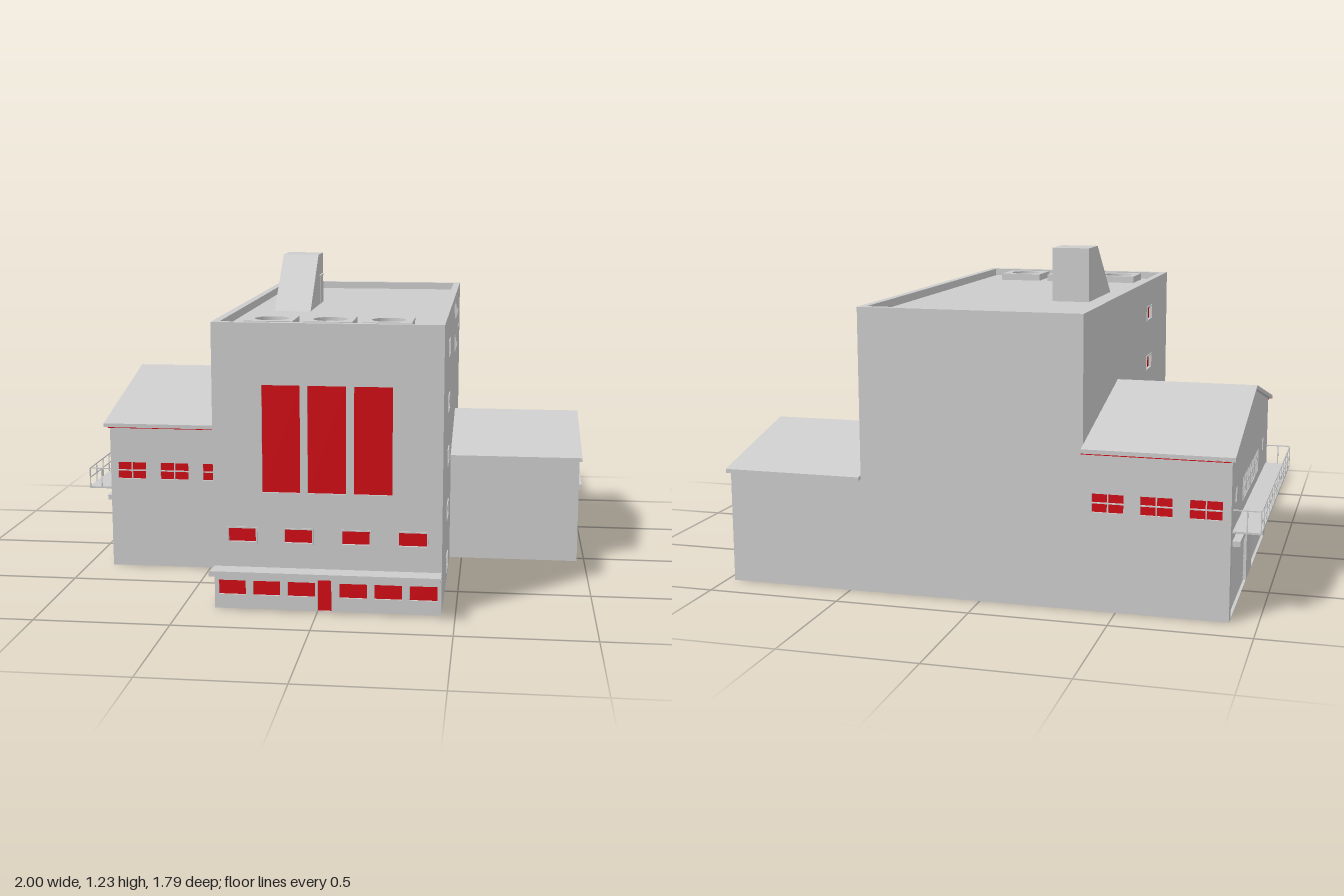
import * as THREE from 'three';

const grey = new THREE.MeshStandardMaterial({ color: 0xcccccc, side: THREE.DoubleSide, flatShading: true });
const red = new THREE.MeshStandardMaterial({ color: 0xd00a14, side: THREE.DoubleSide });
const T = 0.012; // wall thickness

function add(parent, name, geo, mat = grey) {
  const m = new THREE.Mesh(geo, mat);
  m.name = name;
  parent.add(m);
  return m;
}

// Box given by its two extreme corners
function box(parent, name, [x0, y0, z0], [x1, y1, z1], mat = grey) {
  const m = add(parent, name, new THREE.BoxGeometry(x1 - x0, y1 - y0, z1 - z0), mat);
  m.position.set((x0 + x1) / 2, (y0 + y1) / 2, (z0 + z1) / 2);
  return m;
}

const poly = pts => new THREE.Shape(pts.map(p => new THREE.Vector2(...p)));
const rect = (u0, v0, u1, v1) => [[u0, v0], [u1, v0], [u1, v1], [u0, v1]];
const extrude = (shape, depth) => new THREE.ExtrudeGeometry(shape, { depth, bevelEnabled: false, curveSegments: 20 });

// Wall in local XY facing +z, pierced by openings {r: [u0,v0,u1,v1], type, cols, rows}
function wall(parent, name, outline, openings, pos, turn) {
  const g = new THREE.Group();
  g.name = name;
  g.position.set(...pos);
  g.rotation.y = turn;
  parent.add(g);
  const shape = poly(outline);
  for (const o of openings) shape.holes.push(new THREE.Path(rect(...o.r).map(p => new THREE.Vector2(...p))));
  add(g, name + 'Panel', extrude(shape, T)).position.z = -T;
  for (const { r: [u0, v0, u1, v1], type = 'window', cols = 1, rows = 1, frame } of openings) {
    if (type === 'shutter') {
      // roller door of overlapping slats, with its housing above
      const n = 16, h = (v1 - v0) / n;
      for (let i = 0; i < n; i++) {
        const s = box(g, 'shutterSlat', [u0, v0 + i * h, -T - 0.004], [u1, v0 + (i + 1) * h, -T]);
        s.rotation.x = -0.2;
      }
      box(g, 'shutterHousing', [u0 - 0.002, v1 - 0.005, 0], [u1 + 0.002, v1 + 0.014, 0.028]);
      continue;
    }
    box(g, type + 'Pane', [u0, v0, -T], [u1, v1, -T + 0.004], red);
    for (let i = 1; i < cols; i++) {
      const u = u0 + (u1 - u0) * i / cols;
      box(g, 'mullion', [u - 0.002, v0, -T], [u + 0.002, v1, 0]);
    }
    for (let i = 1; i < rows; i++) {
      const v = v0 + (v1 - v0) * i / rows;
      box(g, 'transom', [u0, v - 0.002, -T], [u1, v + 0.002, 0]);
    }
    if (frame) {
      const s = poly(rect(u0 - 0.005, v0 - 0.005, u1 + 0.005, v1 + 0.005));
      s.holes.push(poly(rect(u0, v0, u1, v1)));
      add(g, 'windowFrame', extrude(s, 0.004));
    }
  }
}

const row = (starts, w, v0, v1, extra = {}) => starts.map(u => ({ r: [u, v0, u + w, v1], ...extra }));
const Q = Math.PI / 2;

// Gable roof slab running along x
function gableRoof(parent, name, x0, x1, zBack, zFront, zRidge, yEave, yRidge, t) {
  const m = add(parent, name, extrude(poly([
    [-zFront, yEave - t], [-zRidge, yRidge - t], [-zBack, yEave - t],
    [-zBack, yEave], [-zRidge, yRidge], [-zFront, yEave]]), x1 - x0));
  m.rotation.y = Q;
  m.position.x = x0;
}

function mainBlock() {
  const g = new THREE.Group();
  g.name = 'mainBlock';
  const x0 = -0.38, x1 = 0.45, z0 = -0.865, z1 = 0.79, H = 1.055, roofY = 1.025;
  wall(g, 'frontWall', rect(x0, 0, x1, H), [
    ...row([-0.2, -0.035, 0.132], 0.138, 0.44, 0.832),
    ...row([-0.325, -0.12, 0.09, 0.295], 0.1, 0.255, 0.305, { frame: true }),
    ...row([-0.365, -0.238, -0.11, 0.08, 0.207, 0.335], 0.1, 0.053, 0.107),
    { r: [0, 0.001, 0.05, 0.13], type: 'door' },
  ], [0, 0, z1], 0);
  wall(g, 'backWall', rect(-x1, 0, -x0, H), [], [0, 0, z0], Math.PI);
  // stair windows appear on both flanks, strip windows on one
  const floors = [0.05, 0.26, 0.472, 0.682, 0.893];
  const strip = Array.from({ length: 8 }, (_, i) => i * 0.0727);
  wall(g, 'leftWall', rect(-z1, 0, -z0, H), [
    ...floors.flatMap(v => row([-0.405], 0.095, v, v + 0.052, { frame: true })),
    ...row(strip.map(u => u + 0.155), 0.04, 0.945, 1.02),
    ...row(strip.map(u => u + 0.228), 0.04, 0.808, 0.882),
  ], [x1, 0, 0], Q);
  wall(g, 'rightWall', rect(z0, 0, z1, H),
    floors.flatMap(v => row([0.31], 0.095, v, v + 0.052, { frame: true })), [x0, 0, 0], -Q);

  // sunken flat roof and parapet
  box(g, 'flatRoof', [x0 + 0.01, roofY - 0.012, z0 + 0.01], [x1 - 0.01, roofY, z1 - 0.01]);
  const rim = poly(rect(x0, -z1, x1, -z0));
  rim.holes.push(poly(rect(x0 + 0.028, -z1 + 0.028, x1 - 0.028, -z0 - 0.028)));
  const parapet = add(g, 'parapet', extrude(rim, H - roofY));
  parapet.rotation.x = -Q;
  parapet.position.y = roofY;

  // entrance canopy with upturned lip
  box(g, 'canopy', [x0, 0.15, z1], [x1, 0.16, 0.89]);
  box(g, 'canopyLip', [x0, 0.15, 0.885], [x1, 0.17, 0.893]);

  // roof fan units with round openings
  for (const x of [-0.185, 0.03, 0.243]) {
    const s = poly(rect(-0.088, -0.086, 0.088, 0.086));
    s.holes.push(new THREE.Path().absarc(0, 0, 0.062, 0, Math.PI * 2));
    const unit = add(g, 'fanUnit', extrude(s, 0.028));
    unit.rotation.x = -Q;
    unit.position.set(x, roofY, 0.635);
    const hub = add(g, 'fanHub', new THREE.CylinderGeometry(0.05, 0.05, 0.016, 20));
    hub.position.set(x, roofY + 0.008, 0.635);
  }

  // sloped stair head with door and little awning
  const head = add(g, 'stairHead', extrude(poly(
    [[-0.15, roofY], [0.245, roofY], [0.245, 1.232], [0.095, 1.232]]), 0.145));
  head.rotation.y = Q;
  head.position.x = -0.255;
  box(g, 'roofDoor', [-0.112, roofY, -0.19], [-0.108, 1.135, -0.14]);
  box(g, 'roofDoorAwning', [-0.112, 1.143, -0.2], [-0.102, 1.148, -0.13]);
  return g;
}

function leftWing() {
  const g = new THREE.Group();
  g.name = 'leftWing';
  const x0 = 0.45, x1 = 0.97, z0 = -0.865, z1 = 0.04;
  wall(g, 'wingFront', rect(x0, 0, x1, 0.425), [], [0, 0, z1], 0);
  wall(g, 'wingBack', rect(-x1, 0, -x0, 0.425), [], [0, 0, z0], Math.PI);
  wall(g, 'wingGable', [[-z1, 0], [-z0, 0], [-z0, 0.425], [0.412, 0.532], [-z1, 0.425]], [
    { r: [0.205, 0.001, 0.62, 0.25], type: 'shutter' },
    ...row([0.17, 0.302, 0.435, 0.567], 0.092, 0.345, 0.396),
  ], [x1, 0, 0], Q);
  gableRoof(g, 'wingRoof', x0, 0.98, -0.885, 0.058, -0.412, 0.435, 0.545, 0.015);
  return g;
}

function rightWing() {
  const g = new THREE.Group();
  g.name = 'rightWing';
  const x0 = -0.9, x1 = -0.38, z0 = -0.865, z1 = 0.3, eave = 0.58;
  const panes = { cols: 2, rows: 2 };
  wall(g, 'wingFront', rect(x0, 0, x1, eave), row([-0.87, -0.697, -0.525], 0.113, 0.36, 0.427, panes), [0, 0, z1], 0);
  wall(g, 'wingBack', rect(-x1, 0, -x0, eave), row([0.412, 0.584, 0.757], 0.113, 0.36, 0.427, panes), [0, 0, z0], Math.PI);
  wall(g, 'wingGable', [[z0, 0], [z1, 0], [z1, eave], [-0.282, 0.72], [z0, eave]], [
    { r: [-0.82, 0.001, -0.37, 0.265], type: 'shutter' },
    { r: [-0.195, 0.001, 0.255, 0.265], type: 'shutter' },
    ...row([-0.55, -0.417, -0.284, -0.151], 0.12, 0.35, 0.44, { cols: 3, rows: 2 }),
    ...row([-0.76, 0.1], 0.045, 0.4, 0.45),
  ], [x0, 0, 0], -Q);
  gableRoof(g, 'wingRoof', -0.915, x1, -0.9, 0.335, -0.282, 0.59, 0.735, 0.015);
  for (const z of [-0.897, 0.33]) box(g, 'eaveTrim', [x0, 0.572, z - 0.003], [x1, 0.578, z + 0.003], red);

  // walkway with railings along the gable end
  const a = -0.825, b = 0.265, r = 0.002;
  box(g, 'walkwayDeck', [-1, 0.308, a], [x0, 0.315, b]);
  for (const y of [0.352, 0.39]) box(g, 'longRail', [-1, y - r, a], [-1 + 2 * r, y + r, b]);
  for (let i = 0; i <= 12; i++) {
    const z = a + r + (b - a - 2 * r) * i / 12;
    box(g, 'railPost', [-1, 0.31, z - r], [-1 + 2 * r, 0.39, z + r]);
  }
  for (const z of [a + r, b - r]) {
    box(g, 'endRail', [-1, 0.388, z - r], [x0, 0.392, z + r]);
    box(g, 'endPost', [-0.952, 0.31, z - r], [-0.948, 0.39, z + r]);
  }
  return g;
}

export function createModel() {
  const model = new THREE.Group();
  model.name = 'building';
  model.add(mainBlock(), leftWing(), rightWing());
  return model;
}
